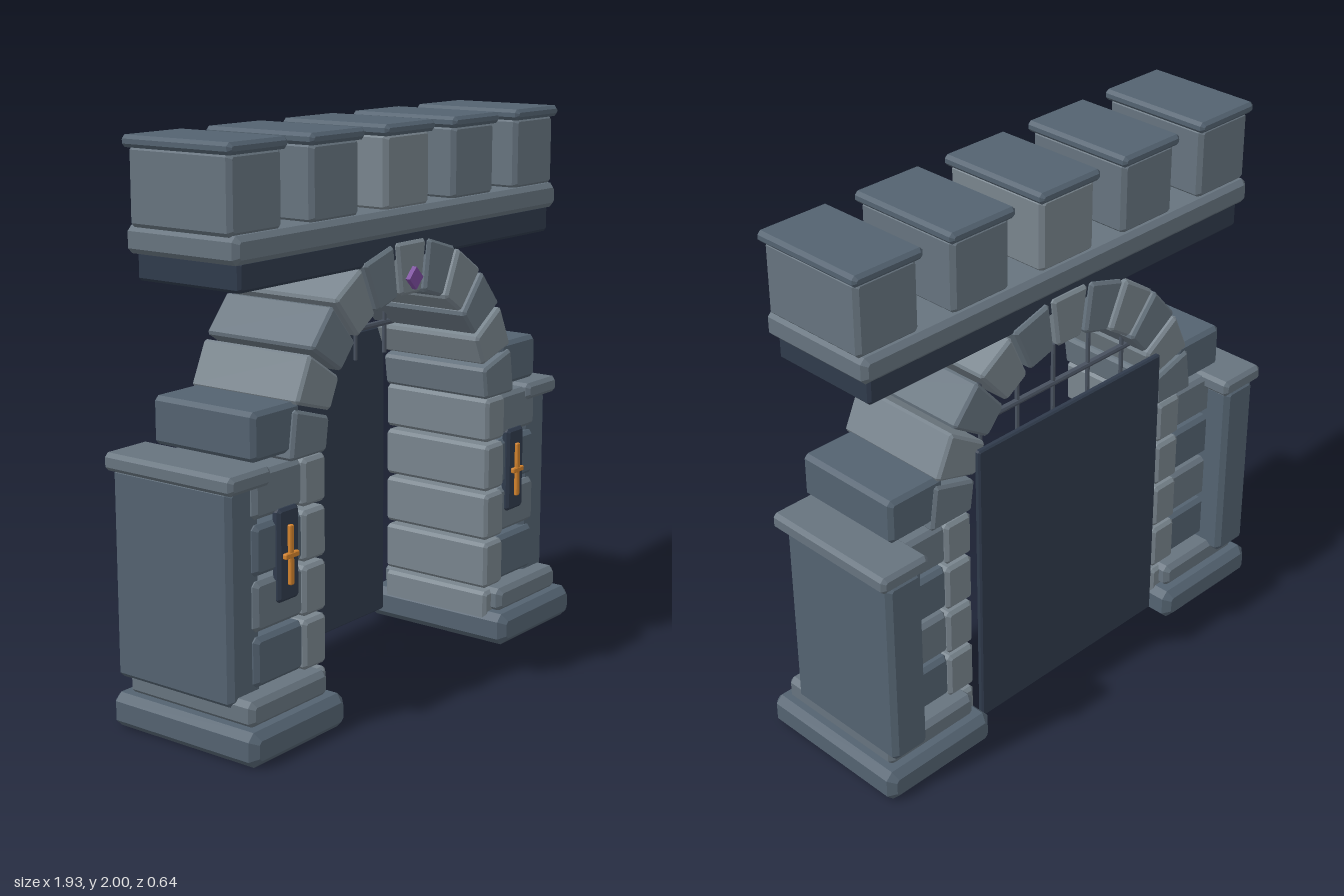
import * as THREE from 'three';

const mat = (color) => new THREE.MeshStandardMaterial({ color, flatShading: true, roughness: 0.9 });
const light = mat(0x78848d);
const stone = mat(0x66737e);
const slate = mat(0x536270);
const dark = mat(0x2f3a4b);
const iron = mat(0x4a5361);
const gold = mat(0xd0812c);
const purple = mat(0x7a4a9c);

// Prism along z with every edge chamfered by c, centred on z = 0
function chamferPrism(points, depth, c) {
  const n = points.length;
  const outline = [];
  points.forEach((p, i) => {
    for (const q of [points[(i + n - 1) % n], points[(i + 1) % n]]) {
      outline.push(p.clone().add(q.clone().sub(p).setLength(c)));
    }
  });
  const geo = new THREE.ExtrudeGeometry(new THREE.Shape(outline), {
    depth: depth - 2 * c, bevelEnabled: true, bevelSegments: 1,
    bevelThickness: c, bevelSize: c, bevelOffset: -c,
  });
  return geo.translate(0, 0, c - depth / 2);
}

function add(parent, name, geo, material, x = 0, y = 0, z = 0) {
  const mesh = new THREE.Mesh(geo, material);
  mesh.name = name;
  mesh.position.set(x, y, z);
  parent.add(mesh);
  return mesh;
}

// Chamfered block given by its extents
function block(parent, name, material, [x0, x1], [y0, y1], [z0, z1], c = 0.012) {
  const w = (x1 - x0) / 2, h = (y1 - y0) / 2;
  const corners = [[-w, -h], [w, -h], [w, h], [-w, h]].map(([x, y]) => new THREE.Vector2(x, y));
  return add(parent, name, chamferPrism(corners, z1 - z0, c), material,
    (x0 + x1) / 2, (y0 + y1) / 2, (z0 + z1) / 2);
}

// One pier; side is +1 for the left, -1 for the right
function makePier(side) {
  const pier = new THREE.Group();
  pier.name = side > 0 ? 'leftPier' : 'rightPier';
  const part = (name, m, [a, b], ...rest) =>
    block(pier, name, m, side > 0 ? [a, b] : [-b, -a], ...rest);

  part('plinth', slate, [0.476, 0.963], [0, 0.12], [-0.315, 0.325], 0.026);
  part('plinthStep', stone, [0.52, 0.92], [0.115, 0.205], [-0.27, 0.28], 0.018);

  // Jamb stones and the courses beside them
  for (let i = 0; i < 5; i++) {
    const y = 0.11 + i * 0.19;
    const top = i === 4 ? 0.075 : 0.0875;
    part('jambStone', light, [0.48, 0.6], [y - 0.0875, y + top], [-0.23, 0.24]);
    if (i > 0) {
      part('courseStone', i % 2 ? slate : stone, [0.585, 0.83],
        [y - 0.084, y + top], [-0.215, 0.225], 0.015);
    }
  }
  part('shoulderStone', slate, [0.59, 0.83], [0.975, 1.14], [-0.215, 0.222], 0.015);

  // Outer buttress
  part('buttress', slate, [0.78, 0.935], [0.17, 0.905], [-0.31, 0.205], 0.018);
  part('buttressCap', stone, [0.757, 0.963], [0.895, 0.957], [-0.32, 0.24], 0.014);

  // Wall plaque with a gilded cross
  part('plaque', dark, [0.624, 0.73], [0.485, 0.803], [0.205, 0.241], 0.01);
  part('crossUpright', gold, [0.667, 0.687], [0.54, 0.745], [0.235, 0.254], 0.003);
  part('crossBar', gold, [0.642, 0.712], [0.633, 0.652], [0.235, 0.256], 0.003);
  return pier;
}

// Ring of wedge stones with a jewelled keystone
function makeArch() {
  const arch = new THREE.Group();
  arch.name = 'arch';
  const count = 11, inner = 0.47, outer = 0.655, step = Math.PI / count;
  const half = Math.tan(step / 2), gap = 0.009;
  const wedge = [[-1, inner], [1, inner], [1, outer], [-1, outer]]
    .map(([s, r]) => new THREE.Vector2(s * (r * half - gap), r));
  const geo = chamferPrism(wedge, 0.465, 0.01);
  for (let i = 0; i < count; i++) {
    const isKey = i === (count - 1) / 2;
    const stoneMesh = add(arch, isKey ? 'keystone' : 'archStone', geo,
      i % 2 ? light : stone, 0, 0.94, 0.006);
    stoneMesh.rotation.z = (i + 0.5) * step - Math.PI / 2;
  }
  const gem = new THREE.CylinderGeometry(0.04, 0.04, 0.035, 4).rotateX(Math.PI / 2);
  add(arch, 'keystoneGem', gem, purple, 0, 1.468, 0.239);
  return arch;
}

// Door panel and the grille above it
function makeGate() {
  const gate = new THREE.Group();
  gate.name = 'gate';
  block(gate, 'doorPanel', dark, [-0.457, 0.457], [0.047, 1.18], [-0.245, -0.22], 0.006);
  const z = -0.145;
  const rail = new THREE.CylinderGeometry(0.012, 0.012, 0.82, 8).rotateZ(Math.PI / 2);
  add(gate, 'grilleRail', rail, iron, 0, 1.215, z);
  const bar = new THREE.CylinderGeometry(0.008, 0.008, 0.27, 8);
  for (let i = -2; i <= 2; i++) add(gate, 'grilleBar', bar, iron, i * 0.177, 1.235, z);
  return gate;
}

// Beam, ledge and merlons
function makeBattlement() {
  const top = new THREE.Group();
  top.name = 'battlement';
  block(top, 'beam', dark, [-0.89, 0.89], [1.53, 1.63], [-0.21, 0.225], 0.01);
  block(top, 'ledge', stone, [-0.923, 0.923], [1.62, 1.712], [-0.232, 0.242], 0.018);
  for (let i = -2; i <= 2; i++) {
    const x = i * 0.398;
    block(top, 'merlon', i === 0 ? light : stone, [x - 0.128, x + 0.128], [1.705, 1.968], [-0.21, 0.22], 0.015);
    block(top, 'merlonCap', slate, [x - 0.143, x + 0.143], [1.96, 2], [-0.225, 0.235], 0.012);
  }
  return top;
}

export function createModel() {
  const gateway = new THREE.Group();
  gateway.name = 'gateway';
  gateway.add(makePier(1), makePier(-1), makeArch(), makeGate(), makeBattlement());
  return gateway;
}
